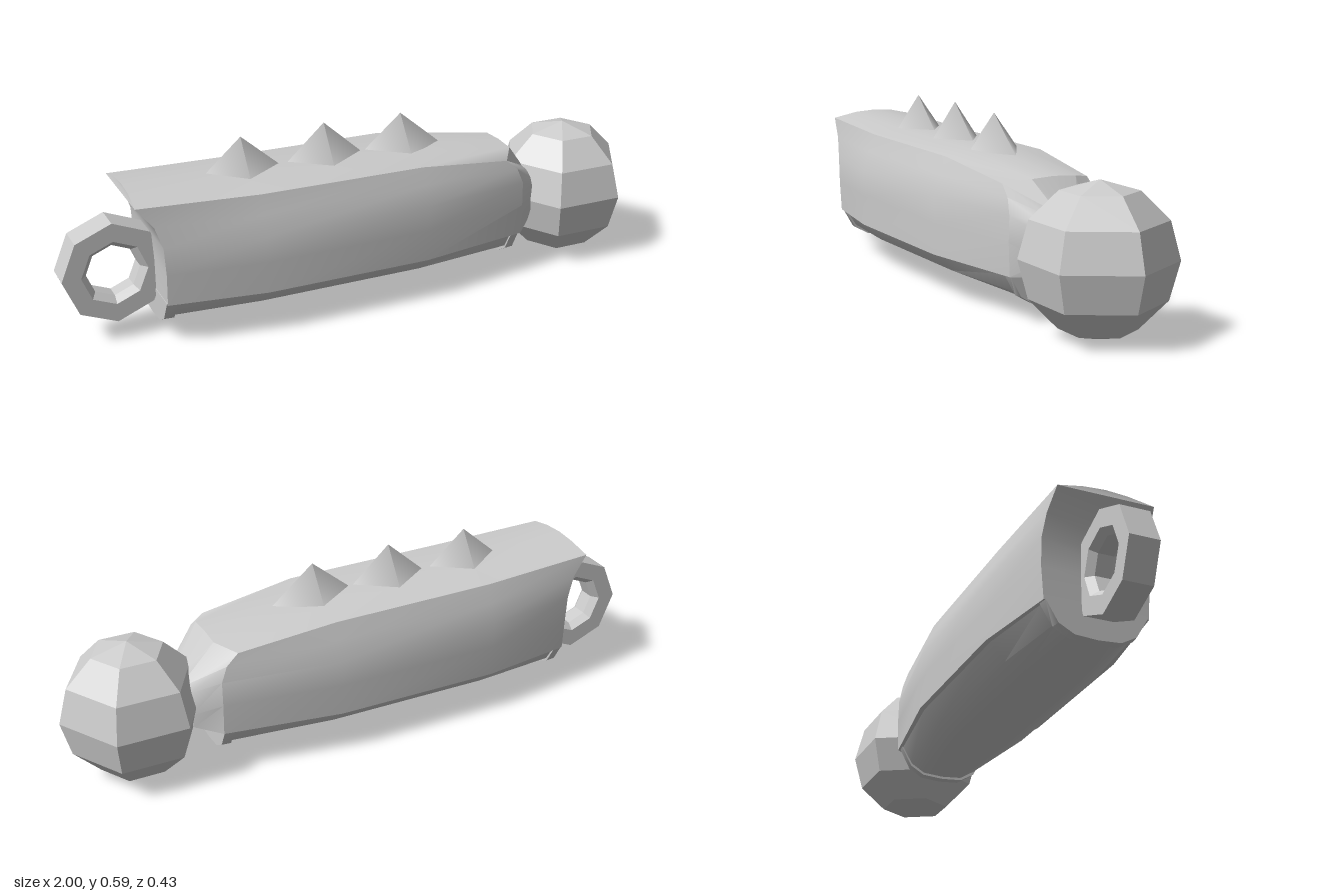
import * as THREE from 'three';
import { toCreasedNormals } from 'three/addons/utils/BufferGeometryUtils.js';

const smooth = new THREE.MeshStandardMaterial({ color: 0xcccccc });
const faceted = new THREE.MeshStandardMaterial({ color: 0xcccccc, flatShading: true });

// Lofts mirrored half-sections (points [x, y, z], bottom to top) along +x and caps both ends.
function loft(sections, crease = 0.55) {
  const rings = sections.map(h => [...h, ...h.map(([x, y, z]) => [x, y, -z]).reverse()]
    .map(p => new THREE.Vector3(...p)));
  const n = rings[0].length, pos = [];
  const tri = (a, b, c) => {
    if (a.distanceTo(b) < 1e-6 || b.distanceTo(c) < 1e-6 || c.distanceTo(a) < 1e-6) return;
    for (const v of [a, b, c]) pos.push(v.x, v.y, v.z);
  };
  const quad = (a, b, c, d) => { tri(a, b, c); tri(a, c, d); };
  for (let s = 0; s < rings.length - 1; s++) {
    for (let i = 0; i < n; i++) {
      const j = (i + 1) % n;
      quad(rings[s][i], rings[s + 1][i], rings[s + 1][j], rings[s][j]);
    }
  }
  const first = rings[0], last = rings[rings.length - 1];
  for (let i = 0; i < n / 2 - 1; i++) {
    const r = n - 1 - i;
    quad(last[i], last[r], last[r - 1], last[i + 1]);
    quad(first[i], first[i + 1], first[r - 1], first[r]);
  }
  const g = new THREE.BufferGeometry();
  g.setAttribute('position', new THREE.Float32BufferAttribute(pos, 3));
  return toCreasedNormals(g, crease);
}

export function createModel() {
  const group = new THREE.Group();
  const add = (name, geometry, material, x = 0, y = 0, z = 0) => {
    const mesh = new THREE.Mesh(geometry, material);
    mesh.name = name;
    mesh.position.set(x, y, z);
    group.add(mesh);
    return mesh;
  };

  // Handle shell: overhanging roof at one end, tapering neck at the other
  const middle = (x, dy) => [[x, 0.147, 0.212], [x, 0.25, 0.213], [x, 0.335, 0.213],
    [x, 0.4, 0.19], [x, 0.46 + dy, 0.17], [x, 0.476 + dy, 0.08], [x, 0.48 + dy, 0]];
  add('handleShell', loft([
    [[-0.71, 0.147, 0.166], [-0.71, 0.25, 0.172], [-0.715, 0.34, 0.172],
      [-0.738, 0.41, 0.165], [-0.79, 0.475, 0.155], [-0.785, 0.493, 0.073], [-0.785, 0.498, 0]],
    middle(-0.4, 0),
    middle(0.15, -0.005),
    [[0.53, 0.147, 0.153], [0.53, 0.25, 0.157], [0.53, 0.33, 0.155],
      [0.51, 0.38, 0.15], [0.47, 0.415, 0.146], [0.52, 0.43, 0.075], [0.52, 0.434, 0]],
    [[0.6, 0.15, 0.08], [0.61, 0.2, 0.088], [0.61, 0.28, 0.088],
      [0.605, 0.31, 0.078], [0.6, 0.33, 0.06], [0.6, 0.335, 0.03], [0.6, 0.338, 0]],
  ]), smooth);

  // Rounded underside with a slightly deeper lip at each end
  const under = (x, width, drop = 0) => [[x, 0.058 - drop, 0], [x, 0.063 - drop, 0.45 * width],
    [x, 0.09 - drop, 0.75 * width], [x, 0.152, width]];
  add('underside', loft([under(-0.7, 0.16), under(-0.4, 0.199), under(0.15, 0.199),
    under(0.52, 0.146)]), smooth);
  add('rearLip', loft([under(-0.712, 0.163, 0.008), under(-0.68, 0.168, 0.008)]), smooth);
  add('frontLip', loft([under(0.495, 0.154, 0.008), under(0.525, 0.149, 0.008)]), smooth);

  // Row of four-sided spikes on the roof
  for (const [x, peak] of [[-0.4, 0.588], [-0.12, 0.591], [0.15, 0.583]]) {
    const base = 0.465, height = peak - base;
    const spike = new THREE.ConeGeometry(0.14, height, 4, 1, true);
    spike.scale(1, 1, 0.62);
    add('spike', spike, smooth, x, base + height / 2);
  }

  // Faceted ball pommel
  add('ball', new THREE.SphereGeometry(0.23, 6, 6), faceted, 0.77, 0.23);

  // Octagonal hanging ring with a bevelled hole
  const profile = [[0.165, -0.048], [0.165, 0.048], [0.105, 0.048], [0.085, 0.025],
    [0.085, -0.025], [0.105, -0.048], [0.165, -0.048]].map(p => new THREE.Vector2(...p));
  const ring = new THREE.LatheGeometry(profile, 8);
  ring.rotateX(Math.PI / 2);
  add('hangingRing', ring, faceted, -0.835, 0.23);

  return group;
}
